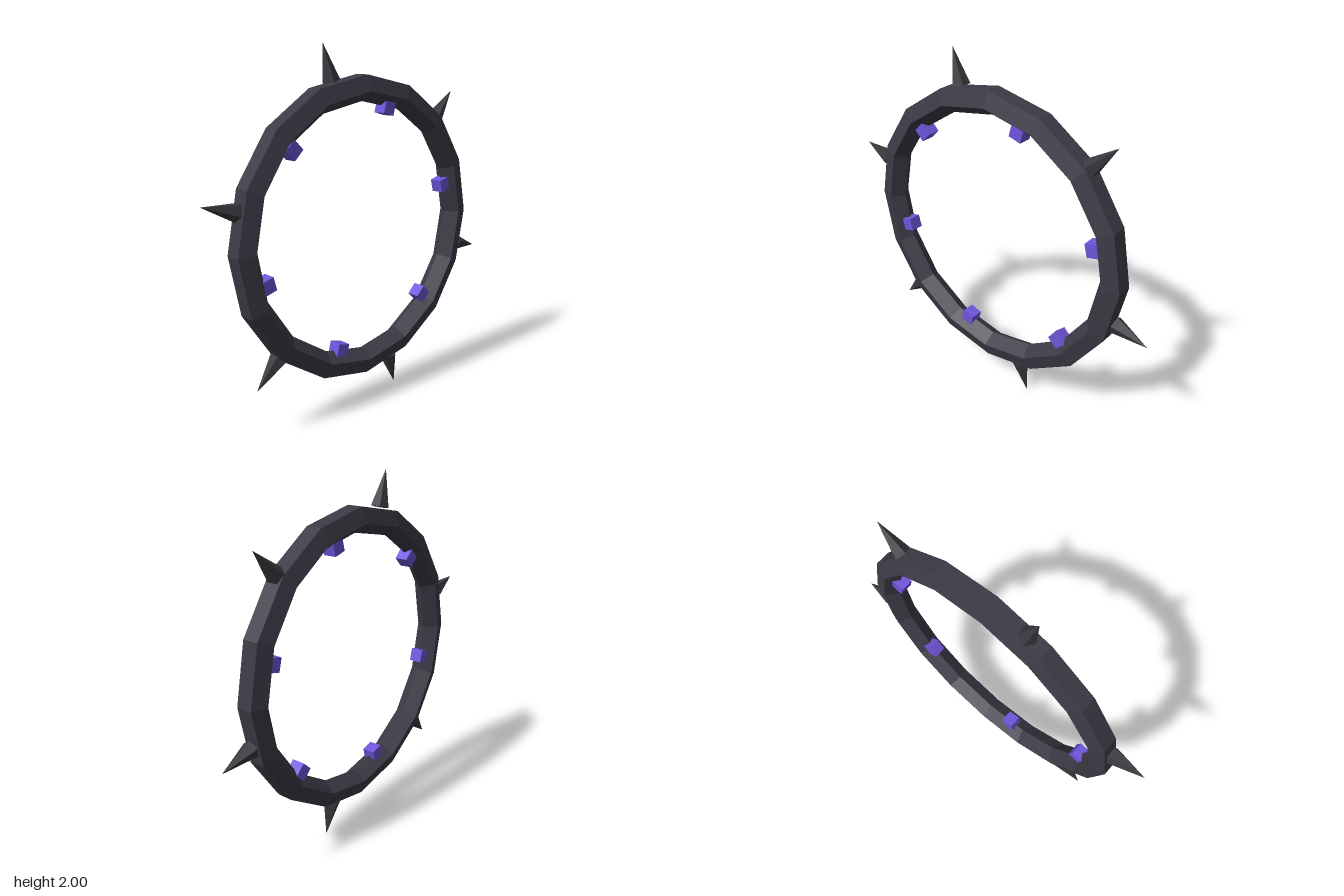
import * as THREE from 'three';

const material = (color) => new THREE.MeshStandardMaterial({ color, flatShading: true });

export function createModel() {
  const model = new THREE.Group();
  const ringMat = material(0x3d3a46);
  const spikeMat = material(0x3a393f);
  const gemMat = material(0x7056dc);

  // Everything is arranged around a hub at the middle of the ring
  const hub = new THREE.Group();
  hub.name = 'spikedRing';
  hub.position.y = 1;
  model.add(hub);

  // Sixteen-sided ring with a pentagonal section, flat side outwards
  const section = [];
  for (let i = 0; i <= 5; i++) {
    const a = THREE.MathUtils.degToRad(-36 + i * 72);
    section.push(new THREE.Vector2(0.777 + 0.077 * Math.cos(a), 0.077 * Math.sin(a)));
  }
  const ring = new THREE.Mesh(new THREE.LatheGeometry(section, 16).rotateX(Math.PI / 2), ringMat);
  ring.name = 'ring';
  hub.add(ring);

  // Repeats a part six times round the hub; the part's own +y points outwards
  const around = (name, geometry, mat, radius, startDeg) => {
    for (let i = 0; i < 6; i++) {
      const a = THREE.MathUtils.degToRad(startDeg + i * 60);
      const mesh = new THREE.Mesh(geometry, mat);
      mesh.name = name + (i + 1);
      mesh.position.set(radius * Math.cos(a), radius * Math.sin(a), 0);
      mesh.rotation.z = a - Math.PI / 2;
      hub.add(mesh);
    }
  };

  // Five-sided outer spikes
  const spike = new THREE.ConeGeometry(0.05, 0.2, 5, 1, false, -Math.PI / 2);
  around('spike', spike, spikeMat, 0.935, 45);

  // Cube studs set into the inner face, halfway between the spikes
  around('stud', new THREE.BoxGeometry(0.075, 0.075, 0.075), gemMat, 0.683, 15);

  return model;
}
